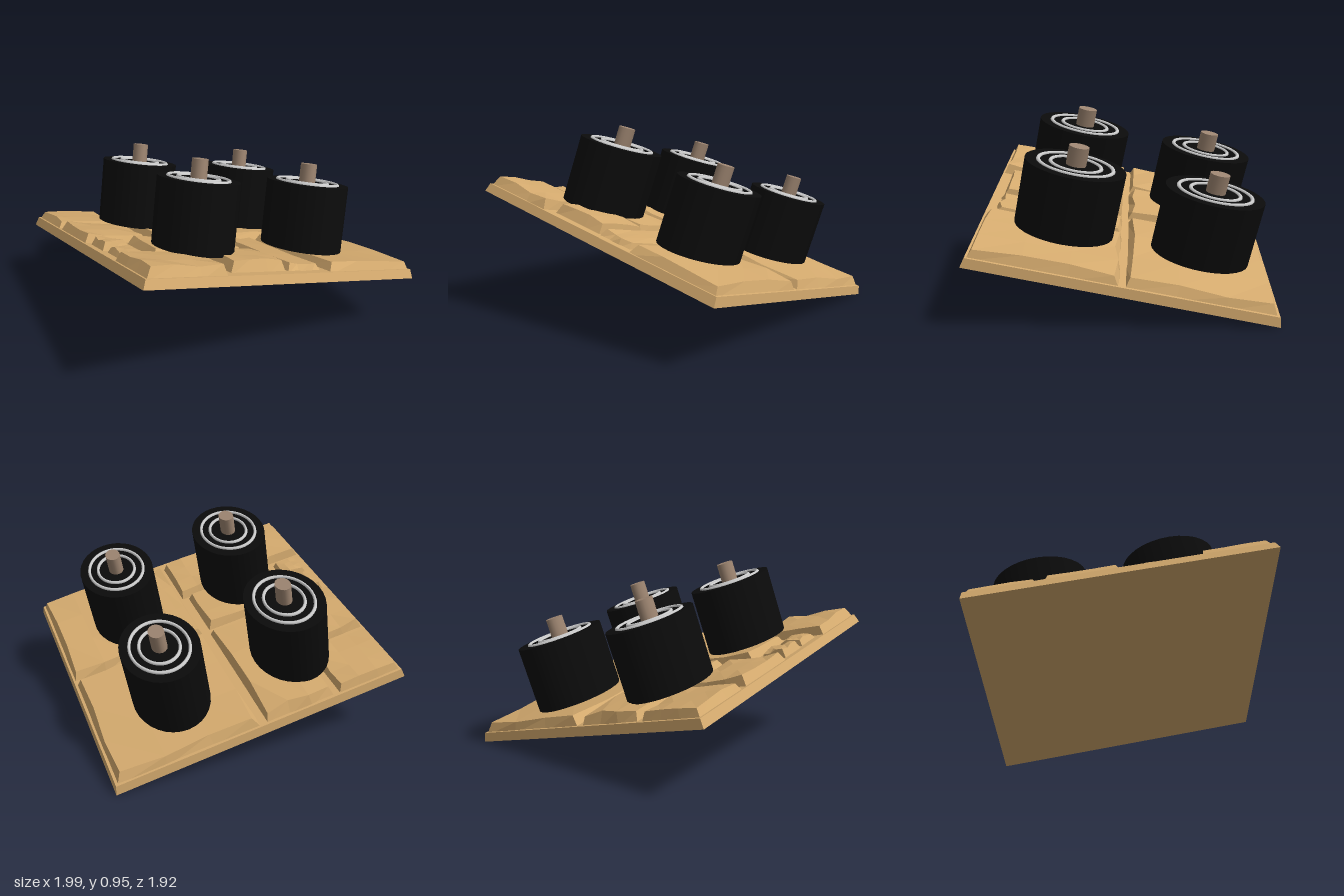
import * as THREE from 'three';

const WIDTH = 1.465, DEPTH = 1.51;

// Repeatable value in -1..1 for a pair of numbers
function noise(a, b) {
  const v = Math.sin(a * 127.1 + b * 311.7) * 43758.5453;
  return (v - Math.floor(v)) * 2 - 1;
}

function mesh(name, geometry, material) {
  const m = new THREE.Mesh(geometry, material);
  m.name = name;
  return m;
}

// Move every vertex of a geometry by a rule
function reshape(geometry, rule) {
  const p = geometry.attributes.position, v = new THREE.Vector3();
  for (let i = 0; i < p.count; i++) {
    rule(v.fromBufferAttribute(p, i));
    p.setXYZ(i, v.x, v.y, v.z);
  }
  geometry.computeVertexNormals();
  return geometry;
}

// Rough paving stone covering s0..s1 by t0..t1 of the slab, measured from its back right corner
function stone(s0, s1, t0, t1, height) {
  const w = s1 - s0, d = t1 - t0, seed = s0 * 7 + t0 * 13;
  const geo = new THREE.BoxGeometry(1, 1, 1, 3, 1, 3);
  return reshape(geo, (v) => {
    const top = v.y > 0;
    const n1 = noise(v.x * 3 + seed, v.z * 5), n2 = noise(v.z * 3 + seed, v.x * 5 + 2);
    const rim = Math.max(Math.abs(v.x), Math.abs(v.z)) > 0.4;
    const inset = top ? 0.022 : 0.006;
    v.x = s0 + w / 2 + v.x * (w - inset * 2) - WIDTH / 2;
    v.z = t0 + d / 2 + v.z * (d - inset * 2) - DEPTH / 2;
    if (!top) { v.y = 0.03; return; }
    v.y = height + (rim ? n1 * 0.009 - 0.005 : 0);
    if (rim) {
      // chip the upper edge inward only
      const cx = s0 + w / 2 - WIDTH / 2, cz = t0 + d / 2 - DEPTH / 2;
      v.x += (cx - v.x) * 0.035 * (1 + n2);
      v.z += (cz - v.z) * 0.035 * (1 + n1);
    }
  });
}

export function createModel() {
  const model = new THREE.Group();
  model.name = 'tiltedStoneSlabWithDrums';

  const stoneMat = new THREE.MeshStandardMaterial({ color: 0xd4aa6e, flatShading: true });
  const blackMat = new THREE.MeshStandardMaterial({ color: 0x0b0b0b });
  const ringMat = new THREE.MeshStandardMaterial({ color: 0xcccccc });
  const pinMat = new THREE.MeshStandardMaterial({ color: 0x9c8470 });

  // Whole assembly lies on a slope, turned about its upright axis
  const body = new THREE.Group();
  body.name = 'slopedAssembly';
  const xAxis = new THREE.Vector3(1.295, 0.29, 0.62).normalize();
  const yAxis = new THREE.Vector3(-0.695, 0.33, 1.3).cross(xAxis).normalize();
  const zAxis = new THREE.Vector3().crossVectors(xAxis, yAxis);
  body.quaternion.setFromRotationMatrix(new THREE.Matrix4().makeBasis(xAxis, yAxis, zAxis));
  body.position.y = 0.31;
  model.add(body);

  // Slab under the stones
  const slab = reshape(new THREE.BoxGeometry(WIDTH, 0.045, DEPTH), (v) => {
    if (v.y > 0) { v.x *= 0.985; v.z *= 0.985; }
    v.y += 0.0225;
  });
  body.add(mesh('slab', slab, stoneMat));

  // Paving stones: s0, s1, t0, t1, height
  const paving = new THREE.Group();
  paving.name = 'pavingStones';
  [
    [0.01, 0.735, 0.01, 0.75, 0.09],
    [0.745, 1.455, 0.01, 0.53, 0.09],
    [0.745, 1.42, 0.54, 0.75, 0.08],
    [0.01, 0.74, 0.765, 1.14, 0.095],
    [0.75, 1.08, 0.77, 1.29, 0.09],
    [1.07, 1.41, 0.74, 1.06, 0.1],
    [0.01, 0.35, 1.15, 1.5, 0.085],
    [0.365, 0.735, 1.15, 1.5, 0.09],
    [0.75, 0.92, 1.32, 1.48, 0.085],
    [0.93, 1.09, 1.31, 1.47, 0.08],
    [1.1, 1.455, 1.08, 1.5, 0.095],
  ].forEach((s) => paving.add(mesh('pavingStone', stone(...s), stoneMat)));
  body.add(paving);

  // Four oval drums with two pale rings and a centre pin
  const drumGeo = new THREE.CylinderGeometry(1, 1, 0.335, 32);
  const pinGeo = new THREE.CylinderGeometry(0.2, 0.2, 0.12, 16);
  const ringGeos = [0.5, 0.74].map((r) =>
    new THREE.TorusGeometry(r, 0.04, 8, 48).rotateX(Math.PI / 2).scale(1, 0.25, 1));
  for (const s of [0.37, 1.05]) {
    for (const t of [0.42, 1.065]) {
      const drum = new THREE.Group();
      drum.name = 'drum';
      drum.position.set(s - WIDTH / 2, 0, t - DEPTH / 2);
      drum.scale.set(0.245, 1, 0.188);
      const shell = mesh('drumBody', drumGeo, blackMat);
      shell.position.y = 0.2575;
      const pin = mesh('centrePin', pinGeo, pinMat);
      pin.position.y = 0.46;
      drum.add(shell, pin);
      for (const g of ringGeos) {
        const ring = mesh('paleRing', g, ringMat);
        ring.position.y = 0.425;
        drum.add(ring);
      }
      body.add(drum);
    }
  }
  return model;
}
